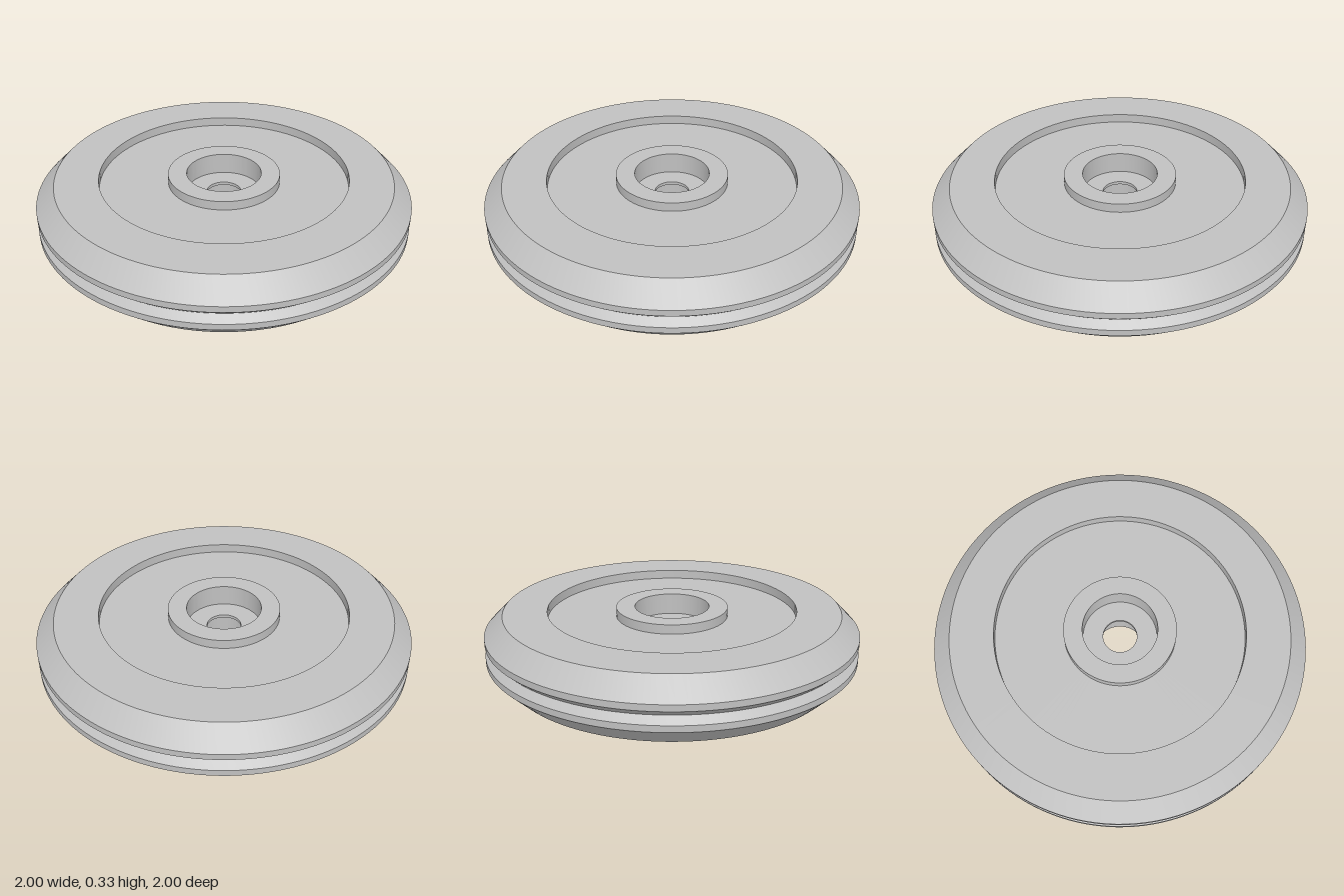
import * as THREE from 'three';
import { toCreasedNormals } from 'three/addons/utils/BufferGeometryUtils.js';

const SEGMENTS = 128;

// Turned part from a [radius, height] profile, with sharp edges kept
function turned(name, profile, material) {
  const points = profile.map(([r, y]) => new THREE.Vector2(r, y));
  const geometry = toCreasedNormals(new THREE.LatheGeometry(points, SEGMENTS), Math.PI / 6);
  const mesh = new THREE.Mesh(geometry, material);
  mesh.name = name;
  return mesh;
}

export function createModel() {
  const metal = new THREE.MeshStandardMaterial({ color: 0xc0c0c0 });
  metal.name = 'grey metal';

  const H = 0.333;                        // overall height
  const webBottom = 0.217, webTop = 0.283;
  const rimInner = 0.667, hubOuter = 0.3;

  const wheel = new THREE.Group();
  wheel.name = 'grooved wheel';

  // Rim: bevelled on both sides, with a V groove around the middle
  wheel.add(turned('rim', [
    [rimInner, webBottom], [rimInner, 0], [0.9, 0], [1, 0.1], [1, 0.133],
    [0.965, H / 2],
    [1, 0.2], [1, 0.233], [0.9, H], [rimInner, H], [rimInner, webTop],
  ], metal));

  // Web: thin disc between hub and rim, shallow recess above, deep recess below
  const web = new THREE.Group();
  web.name = 'web';
  web.add(turned('webUnderside', [[hubOuter, webBottom], [rimInner, webBottom]], metal));
  web.add(turned('webTop', [[rimInner, webTop], [hubOuter, webTop]], metal));
  wheel.add(web);

  // Hub: wide bore above, narrower bore below, small lip between them
  wheel.add(turned('hub', [
    [hubOuter, webTop], [hubOuter, H], [0.2, H], [0.2, 0.217],
    [0.092, 0.217], [0.092, 0.2], [0.139, 0.2],
    [0.139, 0], [hubOuter, 0], [hubOuter, webBottom],
  ], metal));

  return wheel;
}
